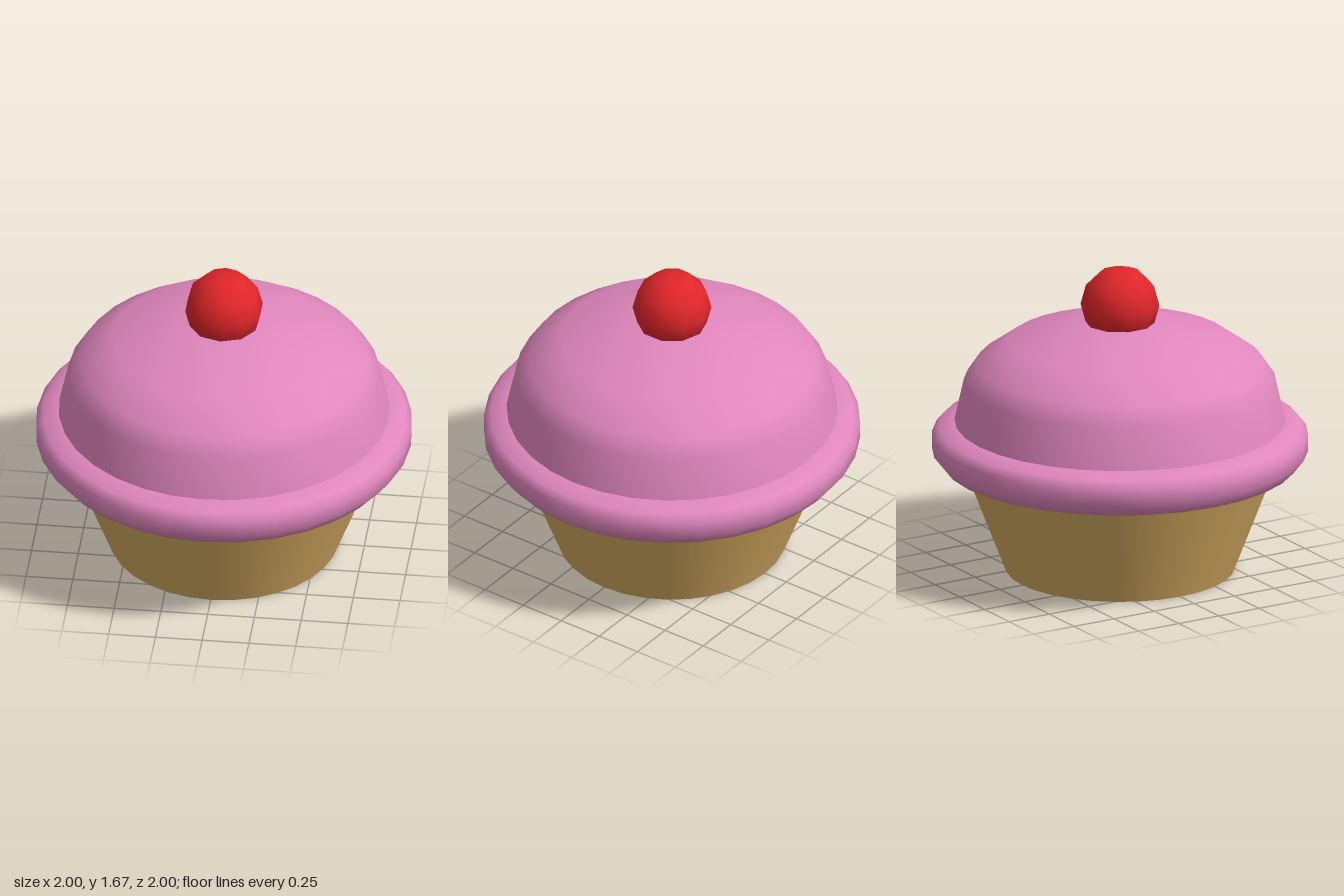
import * as THREE from 'three';

const SIDES = 32;

export function createModel() {
  const model = new THREE.Group();

  const add = (name, geometry, color, y = 0) => {
    const mesh = new THREE.Mesh(geometry, new THREE.MeshStandardMaterial({ color }));
    mesh.name = name;
    mesh.position.y = y;
    model.add(mesh);
    return mesh;
  };
  const lathe = (profile) =>
    new THREE.LatheGeometry(profile.map(([r, y]) => new THREE.Vector2(r, y)), SIDES);

  // Tapered cup, its top hidden inside the frosting rim
  add('cup', new THREE.CylinderGeometry(0.867, 0.61, 0.67, SIDES), 0xd4aa60, 0.335);

  // Rounded rim of frosting
  add('frostingRim', lathe([
    [0.8, 0.59], [0.945, 0.59], [1, 0.66], [1, 0.745], [0.965, 0.787], [0.88, 0.817], [0.8, 0.817],
  ]), 0xe087bd);

  // Frosting dome with a small flat top
  add('frostingDome', lathe([
    [0.892, 0.76], [0.83, 1.04], [0.762, 1.142], [0.59, 1.265], [0.23, 1.366], [0, 1.366],
  ]), 0xe087bd);

  // Cherry, sunk into the dome
  const cherry = add('cherry', new THREE.SphereGeometry(0.21, 10, 6), 0xe0262a, 1.463);
  cherry.rotation.y = Math.PI / 2;

  return model;
}
